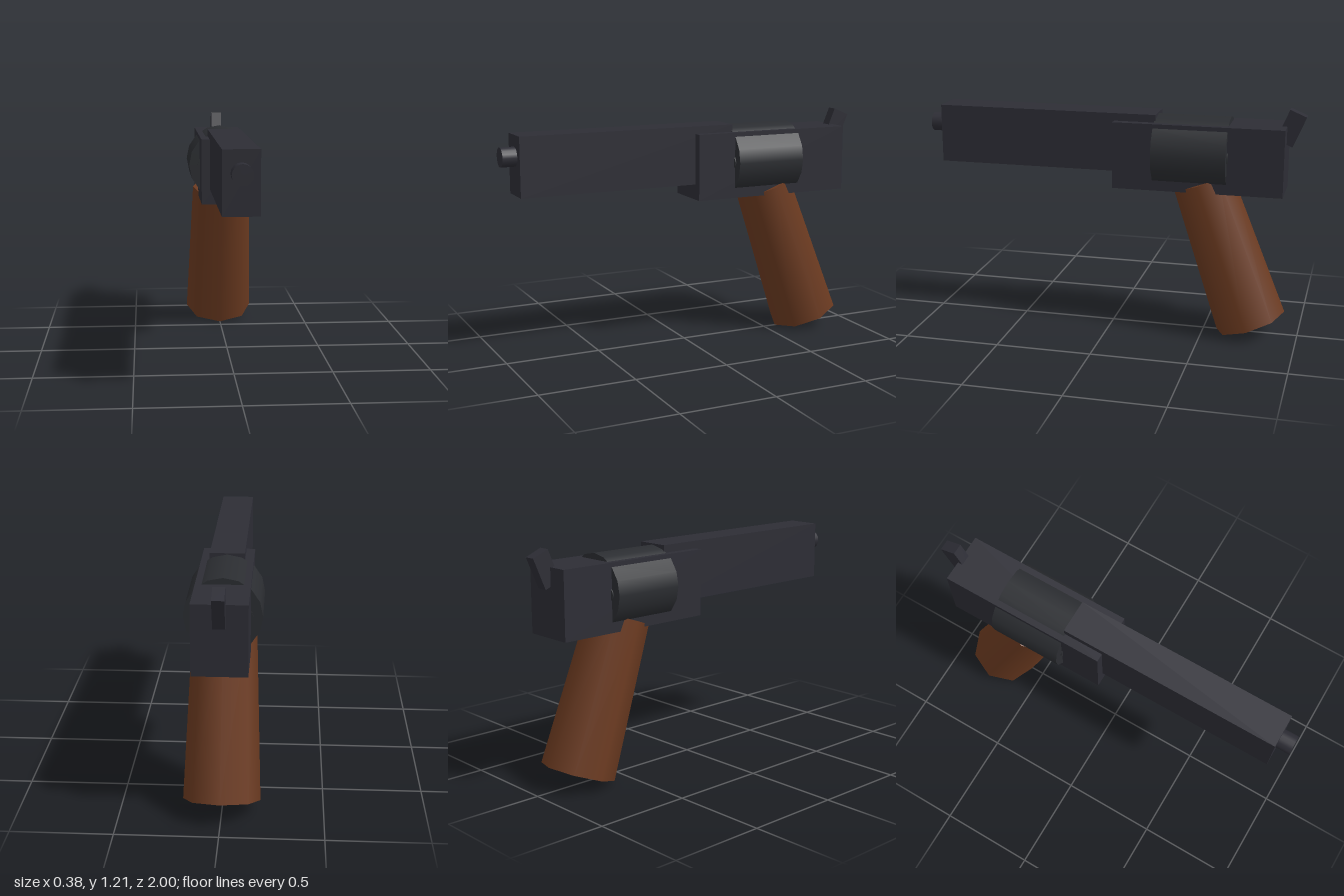
import * as THREE from 'three';

export function createModel() {
  const model = new THREE.Group();
  const mat = (name, color) => {
    const m = new THREE.MeshStandardMaterial({ color });
    m.name = name;
    return m;
  };
  const gunmetal = mat('gunmetal', 0x2d2d35);
  const steel = mat('dark steel', 0x2b2d31);
  const wood = mat('brown wood', 0x6b3a20);

  const add = (name, geometry, material, x, y, z, tilt = 0, parent = model) => {
    const mesh = new THREE.Mesh(geometry, material);
    mesh.name = name;
    mesh.position.set(x, y, z);
    mesh.rotation.x = tilt;
    parent.add(mesh);
    return mesh;
  };
  const box = (w, h, d) => new THREE.BoxGeometry(w, h, d);
  // Cylinder lying along z
  const rod = (r, length, sides) =>
    new THREE.CylinderGeometry(r, r, length, sides).rotateX(Math.PI / 2);

  // Barrel, muzzle and frame
  add('barrel', box(0.176, 0.305, 1.167), gunmetal, 0, 1.018, 0.342);
  add('muzzle', rod(0.05, 0.2, 16), gunmetal, 0, 1.062, 0.9);
  add('frame', box(0.264, 0.347, 0.88), gunmetal, 0, 0.958, -0.465);

  // Revolving drum with six chambers just proud of its end faces
  const drum = new THREE.Group();
  drum.name = 'drum';
  drum.position.set(0, 0.974, -0.427);
  model.add(drum);
  add('drumBody', rod(0.19, 0.383, 16), steel, 0, 0, 0, 0, drum);
  for (let i = 0; i < 6; i++) {
    const a = (i * Math.PI) / 3;
    add('chamber', rod(0.035, 0.395, 8), steel, 0.112 * Math.cos(a), 0.112 * Math.sin(a), 0, 0, drum);
  }

  // Hammer leaning back behind the frame
  add('hammer', box(0.058, 0.17, 0.092), gunmetal, 0, 1.122, -0.925, -0.4);

  // Tapered eight-sided grip, raked backwards
  add('grip', new THREE.CylinderGeometry(0.16, 0.19, 0.806, 8), wood, 0, 0.447, -0.612, THREE.MathUtils.degToRad(20));

  return model;
}
